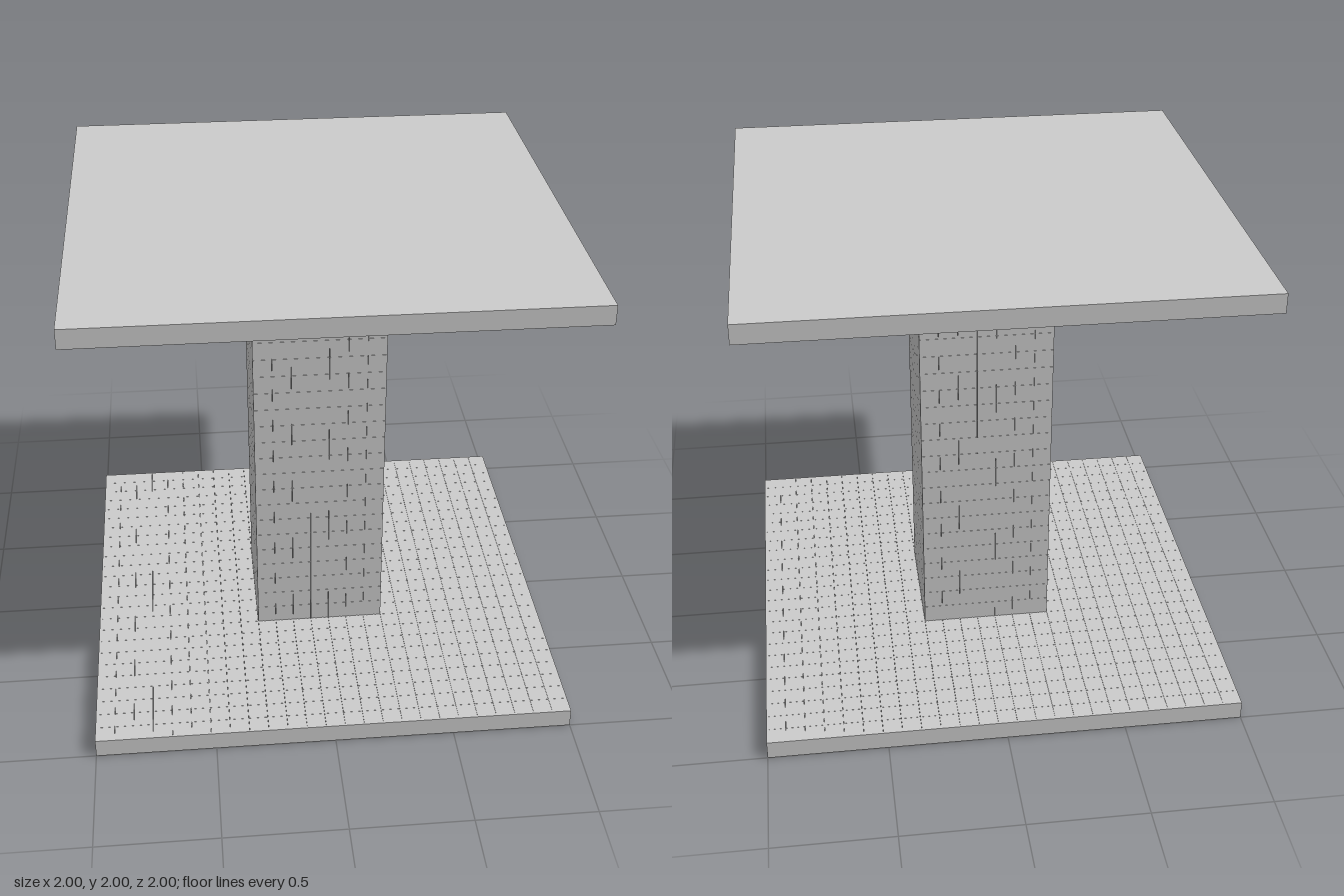
import * as THREE from 'three';
import { mergeGeometries } from 'three/addons/utils/BufferGeometryUtils.js';

const CELL = 0.08;    // pitch of the block grid
const SEAM = 0.0008;  // hairline gap between blocks
const N = 25;         // blocks along a slab edge
const M = 7;          // blocks along a column edge
const ROWS = 23;      // blocks up the column
const RIM = 0.01;     // solid border closing the slab's seams

const material = new THREE.MeshStandardMaterial({ color: 0xcccccc, flatShading: true });

const box = (w, h, d, x, y, z) => new THREE.BoxGeometry(w, h, d).translate(x, y, z);

function addMesh(parent, name, parts) {
  const mesh = new THREE.Mesh(mergeGeometries(parts), material);
  mesh.name = name;
  parent.add(mesh);
}

// Square slab with a smooth outside and a tiled inside face (facing up)
function createSlab(name) {
  const slab = new THREE.Group();
  slab.name = name;
  const half = CELL / 2;
  addMesh(slab, name + 'Plate', [box(2, half, 2, 0, half / 2, 0)]);

  const rim = [];
  for (const s of [-1, 1]) {
    rim.push(box(2, half, RIM, 0, half * 1.5, s * (1 - RIM / 2)));
    rim.push(box(RIM, half, 2 - 2 * RIM, s * (1 - RIM / 2), half * 1.5, 0));
  }
  addMesh(slab, name + 'Rim', rim);

  // Tiles, trimmed where they meet the rim
  const span = (i) => {
    const a = Math.max(-1 + i * CELL + SEAM / 2, -1 + RIM);
    const b = Math.min(-1 + (i + 1) * CELL - SEAM / 2, 1 - RIM);
    return [b - a, (a + b) / 2];
  };
  const tiles = [];
  for (let i = 0; i < N; i++) {
    for (let k = 0; k < N; k++) {
      const [w, x] = span(i);
      const [d, z] = span(k);
      tiles.push(box(w, half, d, x, half * 1.5, z));
    }
  }
  addMesh(slab, name + 'Tiles', tiles);
  return slab;
}

// Square column: a shell of small blocks around a solid core
function createColumn() {
  const column = new THREE.Group();
  column.name = 'column';
  const core = (M - 1) * CELL;
  addMesh(column, 'columnCore', [box(core, ROWS * CELL, core, 0, 1, 0)]);

  const blocks = [];
  const size = CELL - SEAM;
  const last = (M - 1) / 2;
  for (let j = 0; j < ROWS; j++) {
    for (let i = -last; i <= last; i++) {
      for (let k = -last; k <= last; k++) {
        if (Math.max(Math.abs(i), Math.abs(k)) < last) continue;
        blocks.push(box(size, size, size, i * CELL, (j + 1.5) * CELL, k * CELL));
      }
    }
  }
  addMesh(column, 'columnBlocks', blocks);
  return column;
}

export function createModel() {
  const model = new THREE.Group();
  model.name = 'pedestal';

  const base = createSlab('base');
  const top = createSlab('top');
  top.rotation.x = Math.PI; // tiled face looks down
  top.position.y = 2;

  model.add(base, createColumn(), top);
  return model;
}
